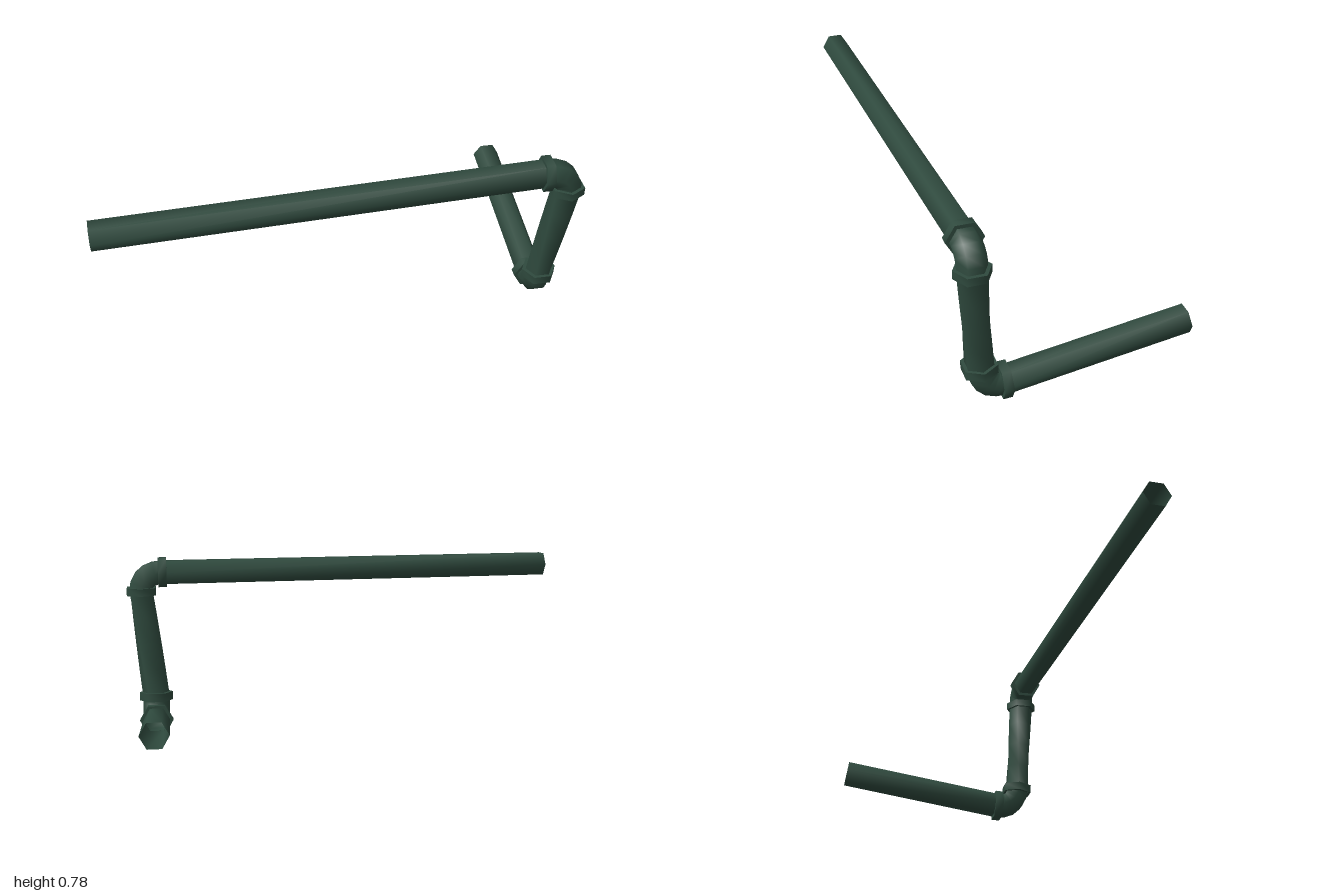
import * as THREE from 'three';
import { mergeGeometries } from 'three/addons/utils/BufferGeometryUtils.js';

const SIDES = 6, PIPE_R = 0.0595, COLLAR_R = 0.0745;
const V = (x, y, z) => new THREE.Vector3(x, y, z);

// Skin hexagons together; each station has a centre p, direction d, corner direction ref and radius r
function loft(stations) {
  const pos = [], index = [];
  stations.forEach(({ p, d, ref, r }, i) => {
    const t = d.clone().normalize();
    const u = ref.clone().addScaledVector(t, -ref.dot(t)).normalize();
    const w = t.clone().cross(u);
    for (let j = 0; j < SIDES; j++) {
      const a = (j / SIDES) * Math.PI * 2;
      const q = p.clone().addScaledVector(u, r * Math.cos(a)).addScaledVector(w, r * Math.sin(a));
      pos.push(q.x, q.y, q.z);
      if (i > 0) {
        const k = (j + 1) % SIDES, A = (i - 1) * SIDES, B = i * SIDES;
        index.push(A + j, A + k, B + j, A + k, B + k, B + j);
      }
    }
  });
  const g = new THREE.BufferGeometry();
  g.setAttribute('position', new THREE.Float32BufferAttribute(pos, 3));
  g.setIndex(index);
  g.computeVertexNormals();
  return g;
}

// Straight pipe, optionally twisting from one corner direction to another
function pipe(a, b, refA, refB = refA) {
  const d = b.clone().sub(a), steps = refA === refB ? 1 : 4, stations = [];
  for (let i = 0; i <= steps; i++) {
    const f = i / steps;
    stations.push({ p: a.clone().lerp(b, f), d, ref: refA.clone().lerp(refB, f), r: PIPE_R });
  }
  return loft(stations);
}

// Curved joint
function elbow(a, ha, hb, b, ref) {
  const curve = new THREE.CubicBezierCurve3(a, ha, hb, b), stations = [];
  for (let i = 0; i <= 5; i++) {
    stations.push({ p: curve.getPoint(i / 5), d: curve.getTangent(i / 5), ref, r: PIPE_R });
  }
  return loft(stations);
}

// Raised band with crisp rims
function collar(c, d, ref, length = 0.038) {
  const t = d.clone().normalize();
  const at = (s, r) => ({ p: c.clone().addScaledVector(t, s * length / 2), d, ref, r });
  const inner = PIPE_R * 0.97;
  return mergeGeometries([
    loft([at(-1, inner), at(-1, COLLAR_R)]),
    loft([at(-1, COLLAR_R), at(1, COLLAR_R)]),
    loft([at(1, COLLAR_R), at(1, inner)]),
  ]);
}

export function createModel() {
  const group = new THREE.Group();
  group.name = 'bentPipe';
  const green = new THREE.MeshStandardMaterial({ color: 0x2f4a3e, side: THREE.DoubleSide });
  green.name = 'darkGreen';
  const add = (name, geometry) => {
    const m = new THREE.Mesh(geometry, green);
    m.name = name;
    group.add(m);
  };

  // Joint centres and corner directions
  const X = V(1, 0, 0), Z = V(0, 0, 1), twisted = V(0.5, 0, 0.866);
  const longEnd = V(-0.997, 0.723, 0.474), upperIn = V(0.835, 0.723, 0.372);
  const upperOut = V(0.931, 0.638, 0.37), lowerIn = V(0.878, 0.158, 0.33);
  const lowerOut = V(0.878, 0.069, 0.23), shortEnd = V(0.878, 0.187, -0.53);
  const down = lowerIn.clone().sub(upperOut);

  // Straight runs
  add('longPipe', pipe(longEnd, upperIn, Z));
  add('uprightPipe', pipe(upperOut, lowerIn, Z, twisted));
  add('shortPipe', pipe(lowerOut, shortEnd, X));

  // Elbows
  add('upperElbow', elbow(upperIn, V(0.895, 0.723, 0.37), V(0.936, 0.69, 0.37), upperOut, Z));
  add('lowerElbow', elbow(lowerIn, V(0.878, 0.098, 0.326), V(0.878, 0.062, 0.288), lowerOut, X));

  // Collars on both sides of each elbow
  add('upperInletCollar', collar(upperIn, X, Z));
  add('upperOutletCollar', collar(upperOut, V(0, -1, 0), Z, 0.034));
  add('lowerInletCollar', collar(lowerIn, V(0, down.y, down.z * 0.5), X));
  add('lowerOutletCollar', collar(lowerOut, V(0, 0.06, -1), X));

  return group;
}
